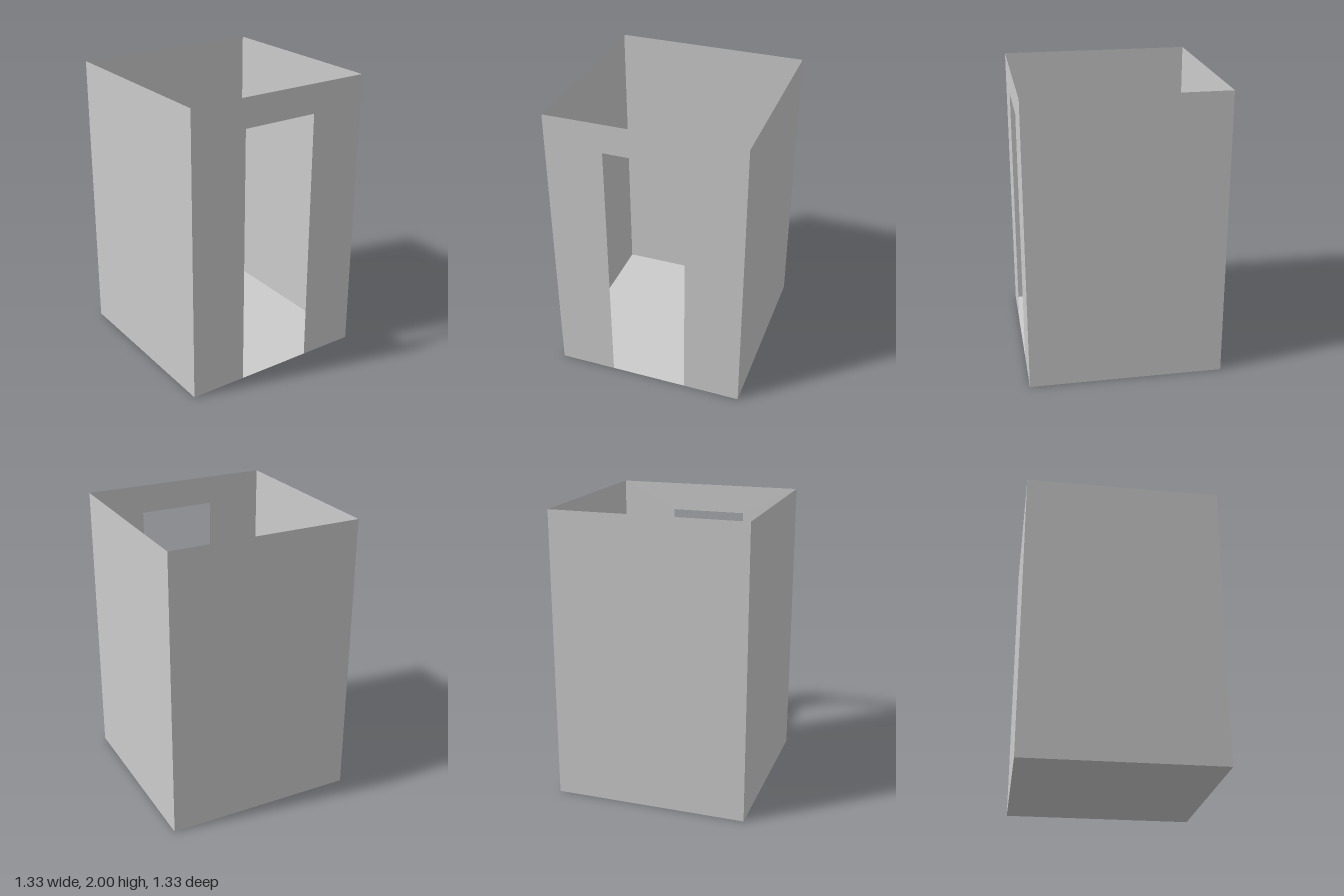
import * as THREE from 'three';

const HALF = 0.667, HEIGHT = 2;
const DOOR_HALF = 0.27, DOOR_TOP = 1.8;

export function createModel() {
  const group = new THREE.Group();
  const material = new THREE.MeshStandardMaterial({
    color: 0xcccccc, side: THREE.DoubleSide, flatShading: true,
  });

  const add = (name, geometry, x, y, z, rx = 0, ry = 0) => {
    const mesh = new THREE.Mesh(geometry, material);
    mesh.name = name;
    mesh.position.set(x, y, z);
    mesh.rotation.set(rx, ry, 0);
    group.add(mesh);
  };

  // Floor and the three plain, paper-thin walls; the top stays open
  const wall = new THREE.PlaneGeometry(2 * HALF, HEIGHT);
  add('floor', new THREE.PlaneGeometry(2 * HALF, 2 * HALF), 0, 0, 0, -Math.PI / 2);
  add('backWall', wall, 0, HEIGHT / 2, -HALF, 0, Math.PI);
  add('leftWall', wall, HALF, HEIGHT / 2, 0, 0, Math.PI / 2);
  add('rightWall', wall, -HALF, HEIGHT / 2, 0, 0, -Math.PI / 2);

  // Front wall, outlined around a doorway that reaches the floor
  const outline = [
    [-HALF, 0], [-DOOR_HALF, 0], [-DOOR_HALF, DOOR_TOP], [DOOR_HALF, DOOR_TOP],
    [DOOR_HALF, 0], [HALF, 0], [HALF, HEIGHT], [-HALF, HEIGHT],
  ].map(([x, y]) => new THREE.Vector2(x, y));
  add('frontWall', new THREE.ShapeGeometry(new THREE.Shape(outline)), 0, 0, HALF);

  return group;
}
